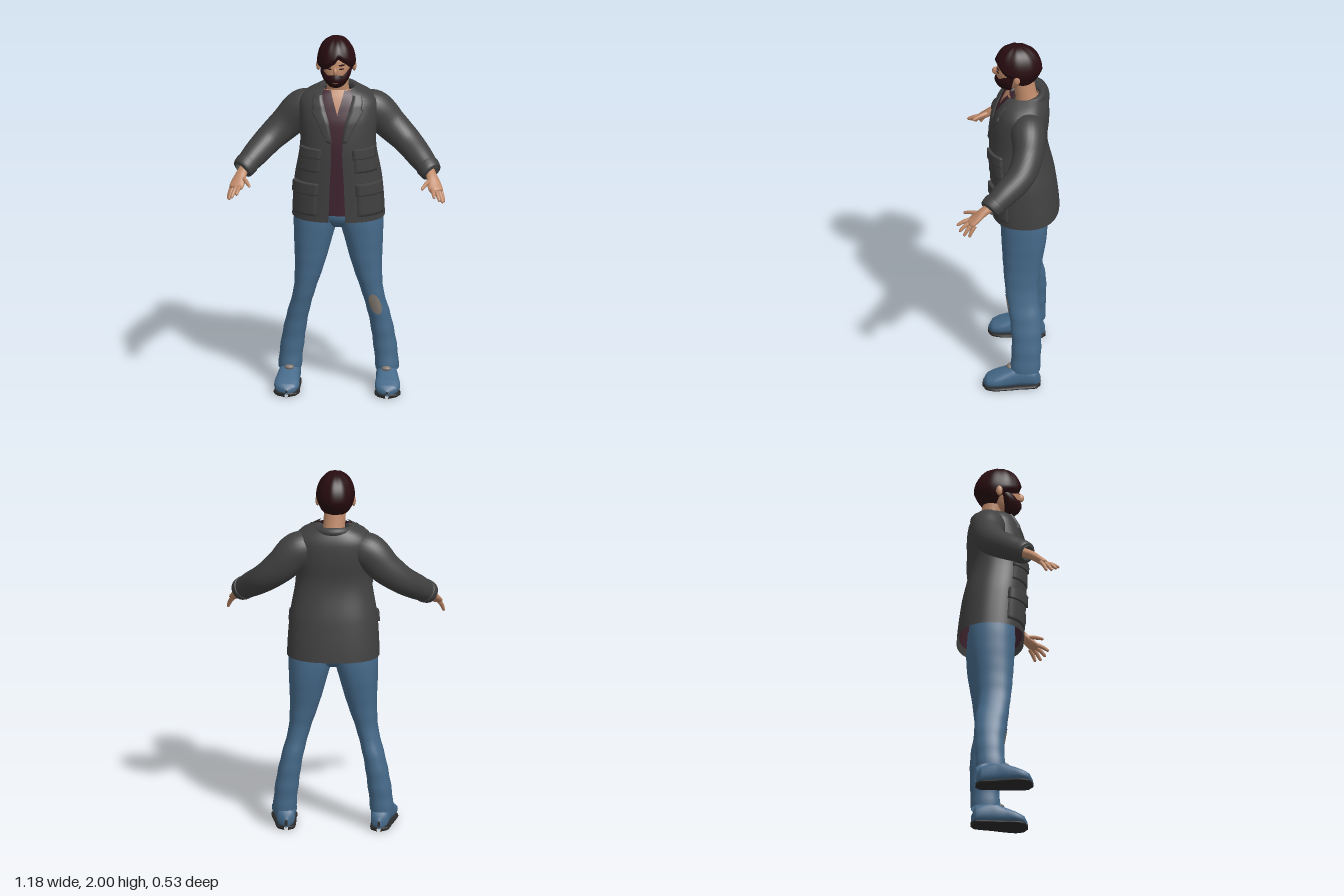
import * as THREE from 'three';
import { mergeVertices } from 'three/addons/utils/BufferGeometryUtils.js';

const paint = (name, color, side = THREE.FrontSide) => {
  const m = new THREE.MeshStandardMaterial({ color, side });
  m.name = name;
  return m;
};
const { sin, cos, abs, sign, min, max, PI } = Math;
const pw = (v, e) => sign(v) * abs(v) ** e;

// Smooth lookup in rows of [key, ...values]
function at(rows, key) {
  const n = rows.length;
  let i = 0;
  while (i < n - 2 && key > rows[i + 1][0]) i++;
  const f = min(1, max(0, (key - rows[i][0]) / (rows[i + 1][0] - rows[i][0])));
  const [a, b, c, d] = [rows[max(0, i - 1)], rows[i], rows[i + 1], rows[min(n - 1, i + 2)]];
  return b.slice(1).map((_, k) => {
    const [p, q, r, s] = [a[k + 1], b[k + 1], c[k + 1], d[k + 1]];
    return q + 0.5 * f * (r - p + f * (2 * p - 5 * q + 4 * r - s + f * (3 * (q - r) + s - p)));
  });
}

// Surface from f(u, v) -> [x, y, z]; u runs right and v up as seen from outside
function surf(f, nu, nv, s = 1) {
  const pos = [], idx = [];
  for (let j = 0; j <= nv; j++) for (let i = 0; i <= nu; i++) {
    const p = f(i / nu, j / nv);
    pos.push(p[0] * s, p[1], p[2]);
  }
  for (let j = 0; j < nv; j++) for (let i = 0; i < nu; i++) {
    const a = j * (nu + 1) + i, b = a + 1, c = a + nu + 1, d = c + 1;
    if (s > 0) idx.push(a, b, d, a, d, c);
    else idx.push(a, d, b, a, c, d);
  }
  const g = new THREE.BufferGeometry();
  g.setAttribute('position', new THREE.Float32BufferAttribute(pos, 3));
  g.setIndex(idx);
  const m = mergeVertices(g, 1e-5);
  m.computeVertexNormals();
  return m;
}

// Tube along rows of [x, y, z, horizontal radius, other radius]
function tube(rows, nu, nv, s = 1) {
  const curve = new THREE.CatmullRomCurve3(rows.map(r => new THREE.Vector3(...r)));
  const radii = rows.map((r, i) => [i / (rows.length - 1), r[3], r[4]]);
  return surf((u, v) => {
    const c = curve.getPoint(v), t = curve.getTangent(v);
    const b = t.clone().cross(new THREE.Vector3(0, 1, 0)).normalize();
    const n = b.clone().cross(t), [ra, rb] = at(radii, v), q = -u * 2 * PI;
    return c.addScaledVector(b, ra * cos(q)).addScaledVector(n, rb * sin(q)).toArray();
  }, nu, nv, s);
}

// Raised rectangle and thin oval on a surface f(a, h, offset)
const panel = (f, a0, a1, y0, y1, d, s) => surf((u, v) => {
  const edge = u === 0 || u === 1 || v === 0 || v === 1;
  const k = t => min(1, max(0, (t * 12 - 1) / 10));
  return f(a0 + (a1 - a0) * k(u), y0 + (y1 - y0) * k(v), edge ? -0.003 : d);
}, 12, 12, s);
const oval = (f, ac, hc, ra, rh, d) => surf((u, v) => {
  const q = u * 2 * PI;
  return f(ac + ra * cos(q) * (1 - v), hc + rh * sin(q) * (1 - v), d);
}, 20, 4);

// Torso: y, half width, front z, back z, half width of the front opening
const TORSO = [
  [0.985, 0.25, 0.1, -0.265, 0.045], [1.2, 0.236, 0.108, -0.24, 0.038], [1.4, 0.205, 0.115, -0.2, 0.03],
  [1.55, 0.212, 0.1, -0.21, 0.048], [1.64, 0.21, 0.07, -0.205, 0.075], [1.69, 0.165, 0.045, -0.185, 0.085],
  [1.72, 0.1, 0.02, -0.165, 0.07]];
const torso = (a, y, o = 0) => {
  const [w, f, b] = at(TORSO, y);
  return [(w + o) * pw(sin(a), 0.85), y, (f + b) / 2 + ((f - b) / 2 + o) * pw(cos(a), 0.85)];
};
const opening = (x, y) => Math.asin(min(0.95, x / at(TORSO, y)[0]) ** (1 / 0.85));
const gap = y => opening(at(TORSO, y)[3], y);

// Leg: y, centre x, half width, front z, back z
const LEG = [
  [0.11, 0.262, 0.063, -0.015, -0.175], [0.25, 0.248, 0.063, -0.022, -0.18], [0.4, 0.222, 0.059, -0.01, -0.18],
  [0.55, 0.184, 0.059, 0.015, -0.16], [0.7, 0.155, 0.08, 0.03, -0.175], [0.85, 0.137, 0.103, 0.04, -0.2],
  [0.95, 0.125, 0.117, 0.045, -0.207], [1.08, 0.12, 0.115, 0.04, -0.2]];
const leg = (a, y, o = 0) => {
  const [x, w, f, b] = at(LEG, y);
  return [x + (w + o) * pw(sin(a), 0.9), y, (f + b) / 2 + ((f - b) / 2 + o) * pw(cos(a), 0.9)];
};

// Shoe: z, centre x, half width, top y
const SHOE = [
  [-0.175, 0.25, 0.008, 0.06], [-0.155, 0.253, 0.045, 0.11], [-0.06, 0.26, 0.056, 0.14], [0, 0.268, 0.062, 0.118],
  [0.07, 0.272, 0.068, 0.088], [0.115, 0.272, 0.05, 0.065], [0.132, 0.271, 0.006, 0.04]];
const shoe = (lo, hi, o, s) => surf((u, v) => {
  const z = -0.175 + 0.307 * v, [x, w, top] = at(SHOE, z), h = hi ?? top, q = u * 2 * PI;
  return [x + (w + o) * pw(cos(q), 0.8), (lo + h) / 2 + (h - lo) / 2 * pw(sin(q), 0.8), z + o * (v * 2 - 1)];
}, 28, 32, s);

// Head: azimuth a from the front, polar angle p from the crown
const head = (a, p, o = 0) => {
  const c = cos(p), low = max(0, -c), s = max(0, sin(p)) ** (c < 0 ? 0.7 : 0.9), k = cos(a);
  return [-0.01 + (0.088 + o) * s * sin(a) * (1 - 0.25 * low), 1.862 + (0.122 + o) * c,
    -0.035 + (0.108 + o) * s * k * (k < 0 ? 1.1 - 0.2 * low : 1) + low * 0.025];
};
const face = (a, h, o) => head(a, PI - h, o);
const HAIRLINE = [
  [-PI, 2.45], [-2.1, 2.4], [-1.65, 1.95], [-1, 1.8], [-0.5, 1.68], [0, 1.42], [0.18, 1.25],
  [0.5, 1.4], [0.9, 1.62], [1.5, 1.9], [2.1, 2.4], [PI, 2.45]];
const BEARDLINE = [[0, 1.93], [0.3, 1.97], [0.6, 2], [1, 1.8], [1.5, 1.6]];

export function createModel() {
  const cloth = paint('jacket charcoal', 0x414141, THREE.DoubleSide);
  const denim = paint('denim blue', 0x466a8a, THREE.DoubleSide);
  const wine = paint('shirt wine', 0x40242f, THREE.DoubleSide);
  const skin = paint('skin', 0xbf8a6a);
  const hair = paint('hair dark brown', 0x270c10, THREE.DoubleSide);
  const rubber = paint('sole dark', 0x2b2a2a);
  const worn = paint('worn denim', 0x80776f);
  const lip = paint('lips', 0x8a5645);
  const root = new THREE.Group();
  root.name = 'man';
  const add = (name, geo, mat) => {
    const m = new THREE.Mesh(geo, mat);
    m.name = name;
    root.add(m);
    return m;
  };
  const ball = (name, mat, p, r) => {
    const m = add(name, new THREE.SphereGeometry(1, 20, 14), mat);
    m.position.set(...p);
    m.scale.set(...r);
  };

  // Jacket body, open down the front, with the shirt and chest inside
  add('jacketBody', surf((u, v) => {
    const y = 0.985 + 0.735 * v, g = gap(y);
    return torso(g + (2 * PI - 2 * g) * u, y);
  }, 56, 40), cloth);
  add('shirt', surf((u, v) => {
    const y = 1.02 + 0.69 * v, g = opening(max(0, y - 1.59) * 0.33, y);
    return torso(g + (2 * PI - 2 * g) * u, y, -0.012);
  }, 48, 30), wine);
  add('chest', surf((u, v) => torso(2 * PI * u, 1.45 + 0.26 * v, -0.022), 40, 12), skin);
  add('collar', surf((u, v) => {
    const a = 0.55 + (2 * PI - 1.1) * u, q = v * 2 * PI, r = 0.02 * min(1, 12 * min(u, 1 - u) + 0.2);
    return [(0.098 + r * cos(q)) * sin(a), 1.69 - 0.01 * cos(a) + 1.2 * r * sin(q), -0.08 + (0.092 + r * cos(q)) * cos(a)];
  }, 40, 12), cloth);

  // Pelvis joining the legs
  ball('pelvis', denim, [0, 1.0, -0.08], [0.13, 0.09, 0.115]);

  for (const s of [1, -1]) {
    // Lapel and pockets with flaps
    add('lapel', surf((u, v) => {
      const y = 1.44 + 0.25 * v, edge = u === 0 || u === 1 || v === 0;
      const w = v < 0.72 ? 0.1 + 0.5 * v : 0.36;
      return torso(gap(y) - 0.02 + w * u, y, edge ? -0.002 : 0.009);
    }, 8, 25, s), cloth);
    for (const [name, a0, a1, y0, y1, d] of [
      ['chestPocket', 0.38, 1.12, 1.27, 1.4, 0.008], ['chestFlap', 0.35, 1.15, 1.35, 1.405, 0.016],
      ['hipPocket', 0.4, 1.2, 1.02, 1.19, 0.01], ['hipFlap', 0.37, 1.23, 1.14, 1.205, 0.019],
    ]) add(name, panel(torso, a0, a1, y0, y1, d, s), cloth);

    // Sleeve and cuff
    add('sleeve', tube([
      [0.11, 1.6, -0.09, 0.082, 0.08], [0.19, 1.575, -0.105, 0.093, 0.1], [0.28, 1.485, -0.11, 0.083, 0.09],
      [0.37, 1.405, -0.075, 0.077, 0.077], [0.45, 1.335, 0.01, 0.068, 0.068], [0.51, 1.28, 0.082, 0.055, 0.055]], 28, 36, s), cloth);
    add('cuff', tube([
      [0.483, 1.305, 0.05, 0.058, 0.058], [0.486, 1.302, 0.054, 0.065, 0.065], [0.51, 1.28, 0.085, 0.058, 0.058],
      [0.516, 1.275, 0.091, 0.04, 0.04]], 28, 12, s), cloth);

    // Hand
    add('palm', tube([
      [0.485, 1.3, 0.05, 0.03, 0.026], [0.513, 1.265, 0.115, 0.03, 0.023], [0.53, 1.228, 0.16, 0.04, 0.019],
      [0.542, 1.205, 0.19, 0.036, 0.015], [0.545, 1.2, 0.197, 0.001, 0.001]], 20, 24, s), skin);
    for (const [name, p, q] of [
      ['indexFinger', [0.517, 1.217, 0.185], [0.536, 1.187, 0.262]],
      ['middleFinger', [0.536, 1.212, 0.185], [0.563, 1.165, 0.247]],
      ['ringFinger', [0.552, 1.208, 0.175], [0.579, 1.147, 0.222]],
      ['littleFinger', [0.562, 1.205, 0.16], [0.584, 1.143, 0.192]],
      ['thumb', [0.51, 1.25, 0.135], [0.463, 1.225, 0.23]],
    ]) {
      const mix = (t, r, lift = 0) => [...p.map((c, i) => c + (q[i] - c) * t + (i === 1 ? lift : 0)), r, r];
      add(name, tube([mix(0, 0.012), mix(0.5, 0.011, 0.005), mix(0.93, 0.0075), mix(1, 0.0005)], 12, 14, s), skin);
    }

    // Trouser leg and shoe
    add('trouserLeg', surf((u, v) => leg(2 * PI * u, 0.11 + 0.97 * v, 0.0015 * sin(60 * v) * (1 - v)), 32, 48, s), denim);
    add('shoe', shoe(0.015, null, 0, s), denim);
    add('sole', shoe(0, 0.026, 0.003, s), rubber);
    ball('ankle', worn, [0.262 * s, 0.125, -0.014], [0.026, 0.014, 0.02]);

    // Ear, eye and brow
    ball('ear', skin, [-0.01 + 0.097 * s, 1.838, -0.04], [0.012, 0.03, 0.018]);
    add('eye', oval(face, 0.4 * s, PI - 1.67, 0.18, 0.035, 0.002), hair);
    add('brow', oval(face, 0.4 * s, PI - 1.5, 0.22, 0.04, 0.004), hair);
  }

  // Worn patches on the knees
  add('leftKneePatch', oval(leg, 0.08, 0.495, 0.5, 0.06, 0.003), worn);
  const knee = oval((a, y, o) => { const p = leg(-a, y, o); return [-p[0], p[1], p[2]]; }, -0.25, 0.45, 0.25, 0.028, 0.003);
  knee.setIndex([...knee.index.array].reverse());
  knee.computeVertexNormals();
  add('rightKneePatch', knee, worn);

  // Head and neck
  add('neck', tube([
    [0, 1.6, -0.1, 0.075, 0.075], [-0.004, 1.7, -0.085, 0.06, 0.058], [-0.01, 1.83, -0.06, 0.06, 0.058]], 28, 12), skin);
  add('face', surf((u, v) => head(2 * PI * u, PI * (1 - v)), 40, 30), skin);
  ball('nose', skin, [-0.01, 1.838, 0.077], [0.012, 0.024, 0.022]);
  add('hair', surf((u, v) => {
    const a = -PI + 2 * PI * u, t = 1 - v;
    return head(a, at(HAIRLINE, a)[0] * t, 0.017 * min(1, v * 8) + 0.0015 * sin(9 * a) * sin(PI * t));
  }, 64, 28), hair);
  add('beard', surf((u, v) => {
    const a = -1.5 + 3 * u, top = at(BEARDLINE, abs(a))[0];
    return head(a, PI + (top - PI) * v, 0.013 * min(1, (1 - v) * 6) * min(1, 12 * min(u, 1 - u)));
  }, 48, 20), hair);
  add('mouth', oval(face, 0, PI - 2.28, 0.24, 0.045, 0.0155), lip);
  return root;
}
